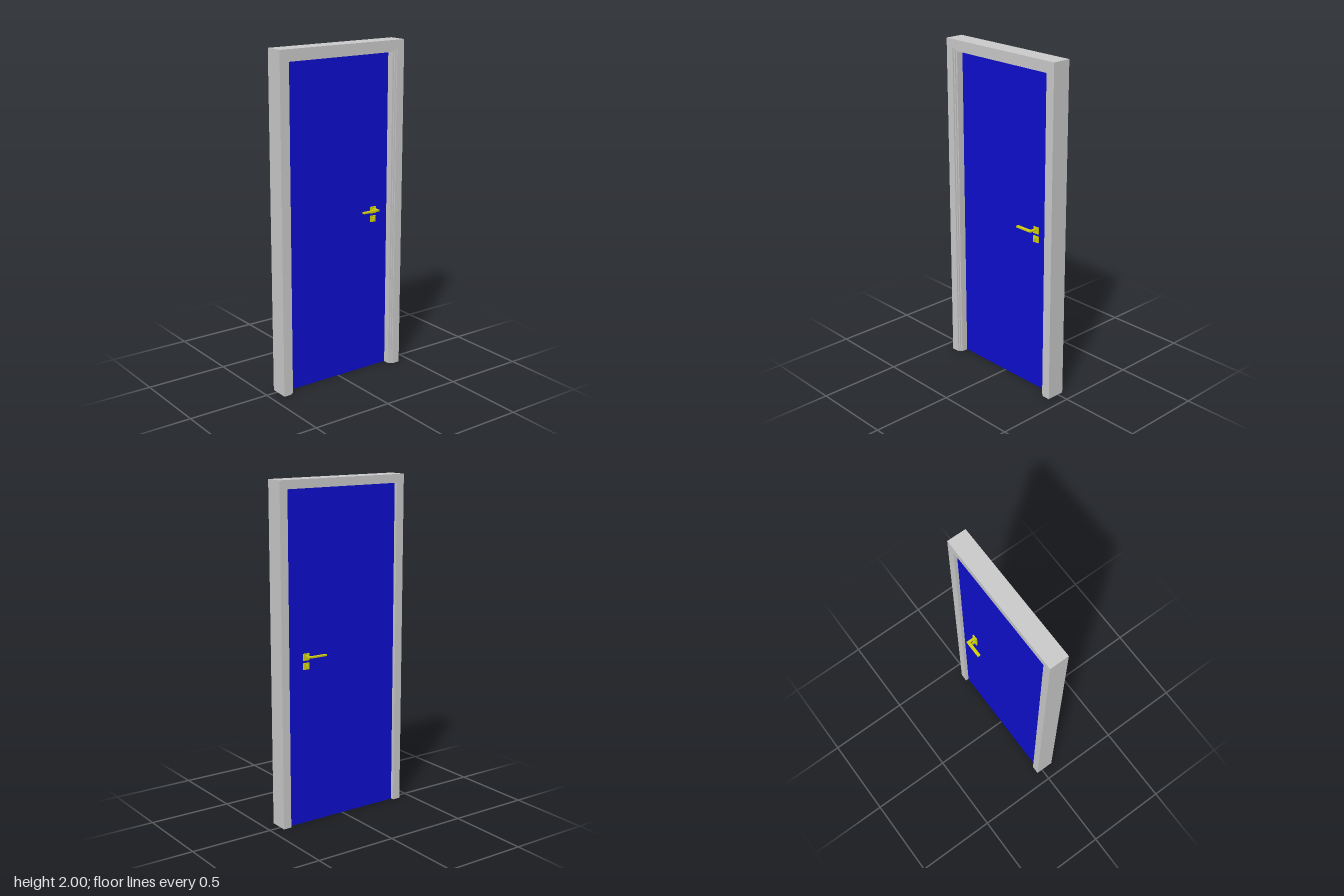
import * as THREE from 'three';

const HALF = 0.427, TOP = 2;
const grey = new THREE.MeshStandardMaterial({ color: 0xcccccc });
const blue = new THREE.MeshStandardMaterial({ color: 0x0e0ed0 });
const brass = new THREE.MeshStandardMaterial({ color: 0xd4d010 });

// Box from its minimum and maximum corners
function box(name, material, [x0, y0, z0], [x1, y1, z1]) {
  const mesh = new THREE.Mesh(new THREE.BoxGeometry(x1 - x0, y1 - y0, z1 - z0), material);
  mesh.position.set((x0 + x1) / 2, (y0 + y1) / 2, (z0 + z1) / 2);
  mesh.name = name;
  return mesh;
}

// Stepped section (inset from the outer edge, depth x) swept up, across and down with mitred corners
function frameGeometry() {
  const profile = [
    [0, -0.037], [0.05, -0.037], [0.05, 0.02], [0.07, 0.02], [0.07, 0.061],
    [0.06, 0.061], [0.06, 0.069], [0.05, 0.069], [0.05, 0.077], [0, 0.077],
  ].map(([t, x]) => new THREE.Vector2(t, x));
  const stations = [[-1, false], [-1, true], [1, true], [1, false]];
  const n = profile.length, positions = [], index = [];
  for (const [side, top] of stations)
    for (const p of profile) positions.push(p.y, top ? TOP - p.x : 0, side * (HALF - p.x));
  for (let s = 0; s < 3; s++)
    for (let i = 0; i < n; i++) {
      const j = (i + 1) % n;
      const a = s * n + i, b = s * n + j, c = b + n, d = a + n;
      index.push(a, b, c, a, c, d);
    }
  // Feet of both posts
  for (const [a, b, c] of THREE.ShapeUtils.triangulateShape(profile, []))
    index.push(a, c, b, 3 * n + a, 3 * n + b, 3 * n + c);
  const indexed = new THREE.BufferGeometry();
  indexed.setAttribute('position', new THREE.Float32BufferAttribute(positions, 3));
  indexed.setIndex(index);
  const geometry = indexed.toNonIndexed();
  geometry.computeVertexNormals();
  return geometry;
}

// Lever, its plate and the lock below, on one face of the door
function handle(name, face, dir) {
  const group = new THREE.Group();
  group.name = name;
  const part = (label, from, to, y0, y1, z0, z1) => {
    const a = face + dir * from, b = face + dir * to;
    group.add(box(label, brass, [Math.min(a, b), y0, z0], [Math.max(a, b), y1, z1]));
  };
  part('handlePlate', 0, 0.008, 0.98, 1.02, -0.273, -0.235);
  part('lockPlate', 0, 0.008, 0.927, 0.965, -0.273, -0.235);
  part('lockCylinder', 0.008, 0.024, 0.935, 0.956, -0.259, -0.249);
  part('leverNeck', 0.008, 0.04, 1.002, 1.011, -0.262, -0.246);
  part('lever', 0.04, 0.059, 1.002, 1.011, -0.262, -0.147);
  return group;
}

export function createModel() {
  const model = new THREE.Group();
  model.name = 'door';

  const frame = new THREE.Mesh(frameGeometry(), grey);
  frame.name = 'doorFrame';
  model.add(frame);

  // Leaf closed against the stop of the frame
  model.add(box('doorLeaf', blue, [-0.018, 0, -0.375], [0.019, 1.948, 0.375]));

  model.add(handle('outerHandle', -0.018, -1), handle('innerHandle', 0.018, 1));
  return model;
}
